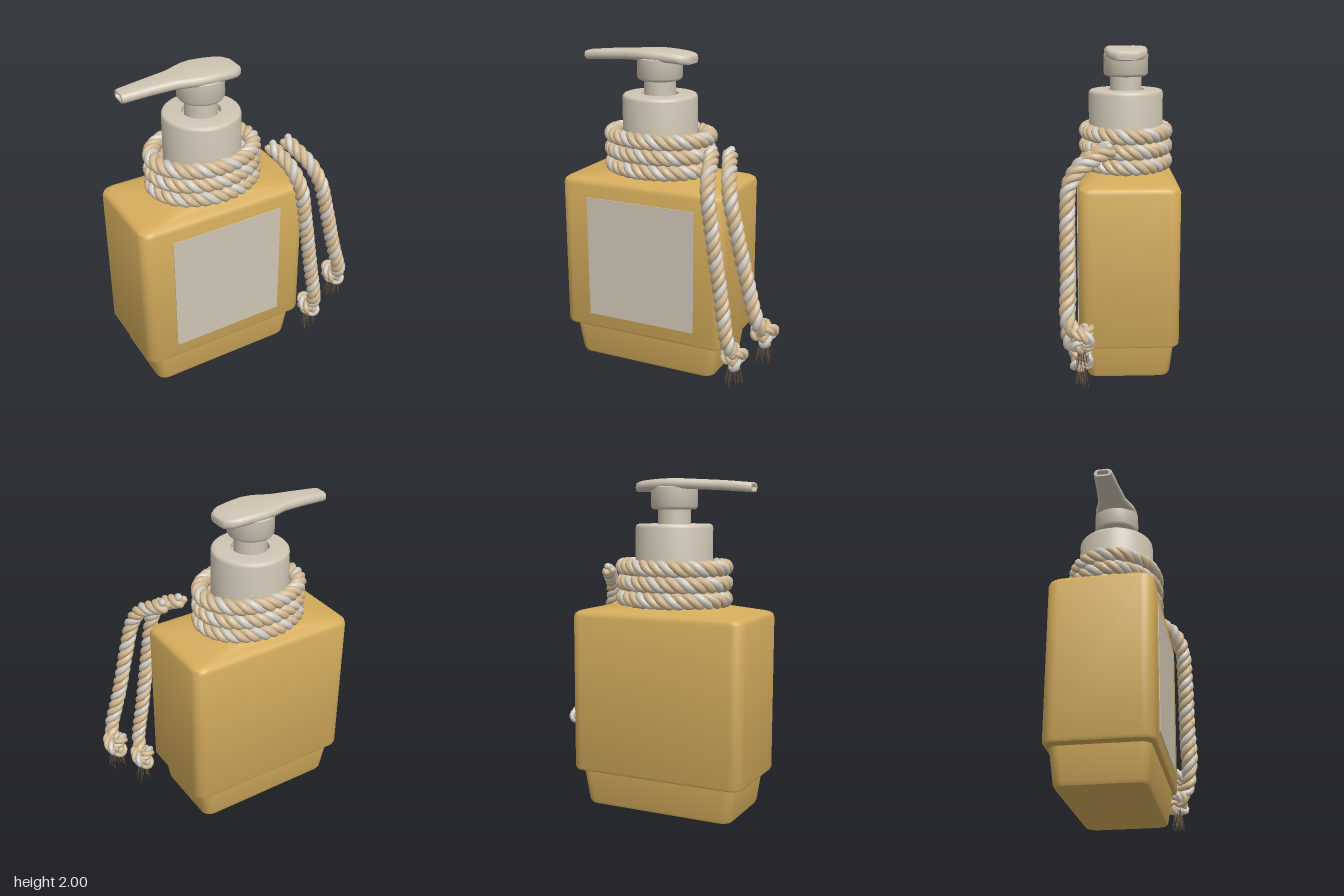
import * as THREE from 'three';
import { mergeGeometries, toCreasedNormals } from 'three/addons/utils/BufferGeometryUtils.js';

const mat = (name, color, side = THREE.FrontSide) => {
  const m = new THREE.MeshStandardMaterial({ color, side });
  m.name = name;
  return m;
};
const V = (x, y, z) => new THREE.Vector3(x, y, z);

// Axis shared by the bottle and the pump
const CX = -0.184, CZ = -0.055;

// Rounded rectangle as a list of [u, v] points
function roundedRect(hu, hv, r, n = 6) {
  const pts = [];
  [[1, 1], [-1, 1], [-1, -1], [1, -1]].forEach(([su, sv], k) => {
    for (let i = 0; i <= n; i++) {
      const a = (k + i / n) * Math.PI / 2;
      pts.push([su * (hu - r) + r * Math.cos(a), sv * (hv - r) + r * Math.sin(a)]);
    }
  });
  return pts;
}

// Skin joining successive rings of points
function loft(rings, crease = 0.6) {
  const n = rings[0].length, index = [];
  for (let i = 0; i < rings.length - 1; i++) {
    for (let j = 0; j < n; j++) {
      const a = i * n + j, b = i * n + (j + 1) % n;
      index.push(a, a + n, b, b, a + n, b + n);
    }
  }
  const g = new THREE.BufferGeometry();
  g.setAttribute('position', new THREE.Float32BufferAttribute(rings.flat().flatMap(p => p.toArray()), 3));
  g.setIndex(index);
  return toCreasedNormals(g, crease);
}

// Three twisted strands following a path, one geometry per strand
function ropeStrands(path, radius, twists, closed = false) {
  const n = Math.round(twists * 14);
  const frames = path.computeFrenetFrames(n, closed);
  const strandR = radius * 0.5, offset = radius * 0.52;
  return [0, 1, 2].map(s => {
    const pts = [];
    for (let i = 0; i < (closed ? n : n + 1); i++) {
      const a = (i / n) * twists * 2 * Math.PI + s * 2 * Math.PI / 3;
      pts.push(path.getPointAt(i / n)
        .addScaledVector(frames.normals[i], offset * Math.cos(a))
        .addScaledVector(frames.binormals[i], offset * Math.sin(a)));
    }
    const curve = new THREE.CatmullRomCurve3(pts, closed);
    curve.arcLengthDivisions = n * 2;
    const parts = [new THREE.TubeGeometry(curve, n, strandR, 8, closed)];
    if (!closed) {
      for (const p of [pts[0], pts[n]]) {
        parts.push(new THREE.SphereGeometry(strandR, 8, 6).translate(p.x, p.y, p.z));
      }
    }
    return mergeGeometries(parts);
  });
}

export function createModel() {
  const model = new THREE.Group();
  model.name = 'soapDispenser';
  const amber = mat('amber bottle', 0xd4ac5c);
  const cream = mat('cream plastic', 0xcfc5b4);
  const paper = mat('label paper', 0xcec5b3);
  const tan = mat('tan rope', 0xd2b993);
  const pale = mat('pale rope', 0xd0cac0);
  const fibre = mat('frayed fibre', 0x6b5a45);

  const add = (name, geo, material, parent = model) => {
    const m = new THREE.Mesh(geo, material);
    m.name = name;
    parent.add(m);
    return m;
  };
  const addRope = (name, path, radius, twists, closed) => {
    const g = new THREE.Group();
    g.name = name;
    ropeStrands(path, radius, twists, closed).forEach((geo, i) =>
      add('strand', geo, i === 2 ? pale : tan, g));
    model.add(g);
  };

  // Bottle: tapered foot, stepped body, sloping shoulder and neck [y, half x, half z, corner]
  const bottle = [
    [0, 0.002, 0.002, 0.001], [0, 0.45, 0.23, 0.05], [0.006, 0.468, 0.248, 0.06], [0.025, 0.477, 0.256, 0.06],
    [0.215, 0.502, 0.277, 0.06], [0.217, 0.53, 0.285, 0.06], [0.222, 0.548, 0.298, 0.065], [0.238, 0.556, 0.306, 0.07],
    [1.175, 0.556, 0.306, 0.07], [1.195, 0.55, 0.3, 0.07], [1.208, 0.535, 0.286, 0.07], [1.214, 0.515, 0.268, 0.07],
    [1.25, 0.29, 0.215, 0.2], [1.27, 0.22, 0.2, 0.19], [1.3, 0.2, 0.2, 0.199],
  ].map(([y, hx, hz, r]) => roundedRect(hx, hz, r).map(([u, v]) => V(CX + u, y, CZ + v)));
  add('bottle', loft(bottle), amber);

  // Label on the front
  add('label', new THREE.BoxGeometry(0.73, 0.785, 0.006).translate(-0.182, 0.708, 0.253), paper);

  // Turned pump parts [radius, y]
  const turned = (name, pts) => add(name, toCreasedNormals(
    new THREE.LatheGeometry(pts.map(p => new THREE.Vector2(...p)), 48).translate(CX, 0, CZ), 0.6), cream);
  turned('collar', [[0.2, 1.25], [0.233, 1.25], [0.233, 1.712], [0.23, 1.724], [0.223, 1.732], [0.212, 1.735],
    [0.115, 1.735], [0.112, 1.7], [0.09, 1.7]]);
  turned('pumpStem', [[0.098, 1.69], [0.098, 1.84]]);
  turned('pumpHead', [[0.02, 1.818], [0.12, 1.818], [0.132, 1.824], [0.14, 1.838], [0.14, 1.95], [0.12, 1.962]]);

  // Lever with a hollow spout [x, half width, bottom, top, corner]
  const lever = [
    [0.045, 0.002, 1.949, 1.951, 0.0005], [0.045, 0.06, 1.93, 1.97, 0.018], [0.038, 0.075, 1.925, 1.978, 0.022],
    [0.005, 0.105, 1.927, 1.985, 0.025], [-0.03, 0.12, 1.932, 1.99, 0.027], [-0.11, 0.13, 1.937, 1.997, 0.028],
    [-0.19, 0.136, 1.94, 2.0, 0.028], [-0.26, 0.126, 1.94, 2.0, 0.028], [-0.37, 0.088, 1.936, 1.995, 0.028],
    [-0.52, 0.071, 1.928, 1.987, 0.027], [-0.675, 0.058, 1.917, 1.974, 0.026], [-0.687, 0.052, 1.92, 1.97, 0.023],
    [-0.687, 0.036, 1.93, 1.96, 0.014], [-0.65, 0.034, 1.932, 1.96, 0.013], [-0.65, 0.002, 1.945, 1.947, 0.0005],
  ].map(([x, hw, lo, hi, r]) => roundedRect((hi - lo) / 2, hw, r, 4)
    .map(([u, v]) => V(x, (lo + hi) / 2 + u, CZ + v)));
  add('pumpLever', loft(lever, 0.7), cream);

  // Rope wound three times around the neck
  for (let k = 0; k < 3; k++) {
    const pts = [];
    for (let i = 0; i < 32; i++) {
      const a = -i / 32 * 2 * Math.PI + k * 0.4;
      pts.push(V(-0.182 + 0.318 * Math.cos(a), 1.29 + k * 0.094, CZ + 0.247 * Math.sin(a)));
    }
    addRope('neckRope', new THREE.CatmullRomCurve3(pts, true), 0.05, 10, true);
  }

  // Two hanging rope ends, each with a knot and a frayed tip
  let seed = 7;
  const rand = () => (seed = (seed * 16807) % 2147483647) / 2147483647 - 0.5;
  const hanging = [
    { pts: [[0.22, 1.43, 0.07], [0.25, 1.39, 0.15], [0.275, 1.33, 0.24], [0.297, 1.23, 0.3], [0.32, 1.08, 0.31],
      [0.395, 0.6, 0.31], [0.44, 0.32, 0.31], [0.455, 0.25, 0.27]], knot: V(0.455, 0.21, 0.235) },
    { pts: [[0.335, 1.435, 0.06], [0.37, 1.39, 0.15], [0.405, 1.33, 0.24], [0.437, 1.23, 0.3], [0.475, 1.08, 0.31],
      [0.56, 0.73, 0.31], [0.625, 0.5, 0.31], [0.645, 0.44, 0.27]], knot: V(0.645, 0.405, 0.23) },
  ];
  for (const { pts, knot } of hanging) {
    const path = new THREE.CatmullRomCurve3(pts.map(p => V(...p)));
    addRope('hangingRope', path, 0.047, path.getLength() / 0.18);

    // Overhand knot
    const loop = [];
    for (let i = 0; i < 36; i++) {
      const t = i / 36 * 2 * Math.PI;
      loop.push(V(knot.x + 0.018 * (Math.sin(t) + 2 * Math.sin(2 * t)),
        knot.y + 0.02 * (Math.cos(t) - 2 * Math.cos(2 * t)),
        knot.z - 0.04 * Math.sin(3 * t)));
    }
    addRope('knot', new THREE.CatmullRomCurve3(loop, true), 0.036, 4, true);

    // Loose fibres
    const fibres = [];
    for (let i = 0; i < 26; i++) {
      const dx = rand(), dz = rand(), len = 0.13 + rand() * 0.06;
      const curve = new THREE.CatmullRomCurve3([0, 0.35, 0.7, 1].map(t => V(
        knot.x + dx * (0.05 + 0.05 * t) + rand() * 0.012 * t,
        knot.y - 0.035 - len * t,
        knot.z + dz * (0.04 + 0.04 * t) + rand() * 0.012 * t)));
      fibres.push(new THREE.TubeGeometry(curve, 6, 0.0018, 3));
    }
    add('frayedTip', mergeGeometries(fibres), fibre);
  }
  return model;
}
